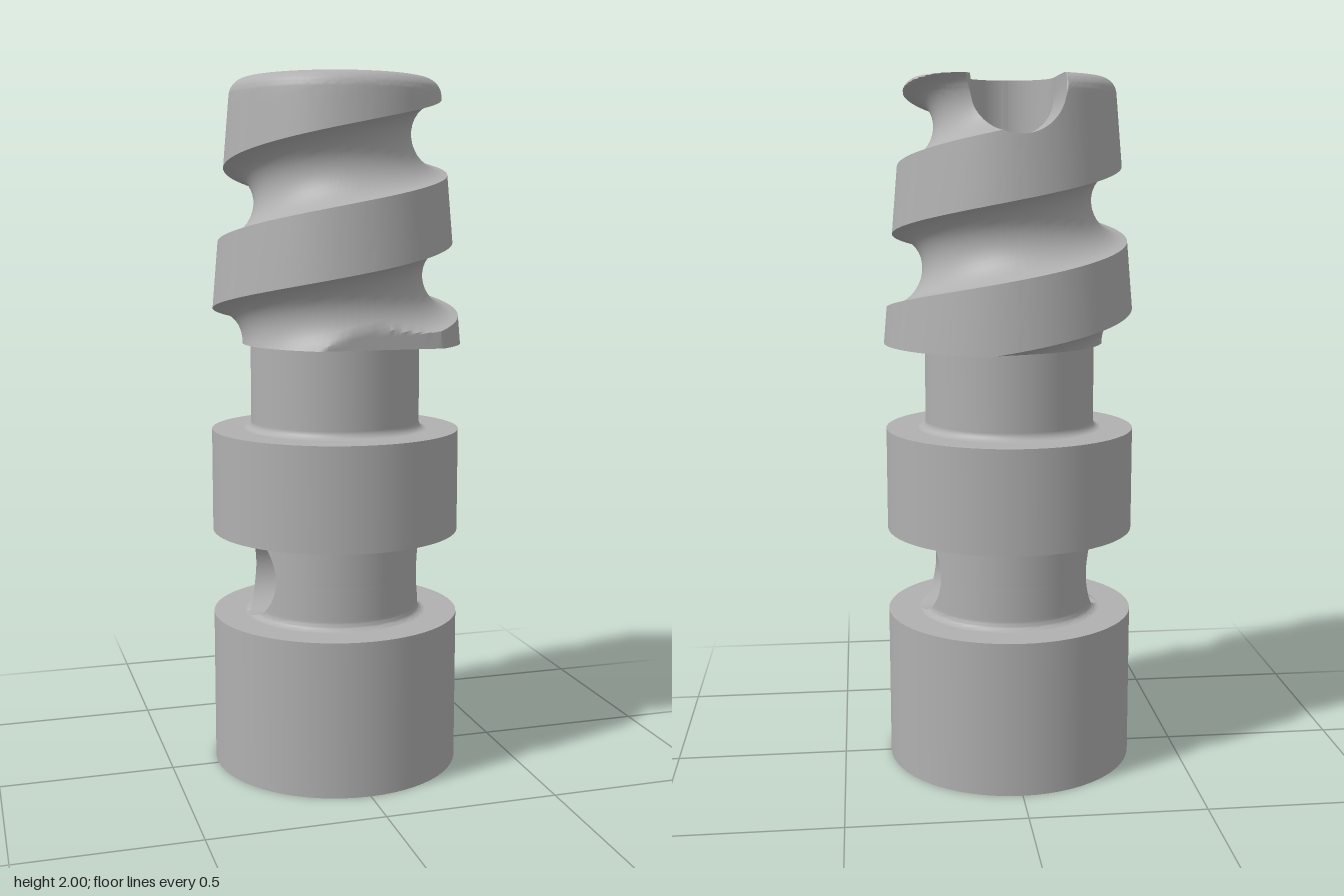
import * as THREE from 'three';
import { toCreasedNormals } from 'three/addons/utils/BufferGeometryUtils.js';

const steel = new THREE.MeshStandardMaterial({ color: 0xb0b0b0 });
steel.name = 'steel grey';

// Surface from columns of [x, y, z] points; columns run anticlockwise seen from above
function gridGeometry(columns) {
  const rows = columns[0].length, index = [];
  for (let i = 0; i < columns.length - 1; i++) {
    for (let j = 0; j < rows - 1; j++) {
      const a = i * rows + j, b = a + rows;
      index.push(a, b, b + 1, a, b + 1, a + 1);
    }
  }
  const g = new THREE.BufferGeometry();
  g.setAttribute('position', new THREE.Float32BufferAttribute(columns.flat(2), 3));
  g.setIndex(index);
  return toCreasedNormals(g, 0.6);
}

const polar = (phi, r, y) => [r * Math.sin(phi), y, r * Math.cos(phi)];
const lerp = THREE.MathUtils.lerp, clamp = THREE.MathUtils.clamp;
const root = v => Math.sqrt(Math.max(0, v));

// ---- Screw: tapered, helical groove, blind hole and a round-bottomed slot to the back
const BASE = 1.25, TOP = 2, PITCH = 0.4, HALF = 0.105, DEPTH = 0.095, FILLET = 0.045;
const BORE = 0.125, SLOT_Y = 1.96;

const cone = y => 0.365 - 0.088 * (y - BASE);
const grooveY = (phi, k) => 1.76 + PITCH * (phi / (2 * Math.PI) - k);

function screwRadius(phi, y) {
  const up = Math.max(0, y - (TOP - FILLET));
  let r = cone(y) - (FILLET - root(FILLET ** 2 - up ** 2));
  for (let k = 0; k < 3; k++) {
    const d = (y - grooveY(phi, k)) / HALF;
    if (Math.abs(d) < 1) r = Math.min(r, cone(y) - DEPTH * root(1 - d * d));
  }
  // the groove runs out straight at the bottom
  if (Math.cos(phi) > 0 && y < 1.36) r = Math.min(r, 0.28 / Math.cos(phi));
  return r;
}

const slotFloor = x => SLOT_Y - root(BORE ** 2 - x * x);

function screwColumn(phi) {
  const s = Math.sin(phi), back = Math.cos(phi) < -1e-6;
  // height at which the outside meets the slot
  let yEnd = TOP;
  if (back) {
    for (let y = 1.8; y < TOP; y += 0.0005) {
      const x = Math.abs(screwRadius(phi, y) * s);
      if (x < BORE && y > slotFloor(x)) { yEnd = y; break; }
    }
  }
  const pts = [polar(phi, 0.24, BASE)];
  const add = y => pts.push(polar(phi, screwRadius(phi, y), y));
  const low = Math.min(yEnd, TOP - FILLET);
  // rows follow the helix so the groove edges stay clean
  for (let k = 3; k >= -1; k--) {
    const c = grooveY(phi, k);
    for (let n = 0; n <= 16; n++) add(clamp(c + HALF * Math.sin((n / 16 - 0.5) * Math.PI), BASE, low));
    for (let n = 1; n < 5; n++) add(clamp(lerp(c + HALF, c + PITCH - HALF, n / 5), BASE, low));
  }
  for (let n = 0; n <= 10; n++) add(lerp(low, yEnd, Math.sin(n / 10 * Math.PI / 2)));
  // flat top, slot wall and slot floor
  const rEnd = screwRadius(phi, yEnd);
  const rw = back ? Math.min(BORE / Math.max(Math.abs(s), 1e-6), rEnd) : BORE;
  pts.push(polar(phi, rw, yEnd));
  for (let n = 0; n <= 8; n++) {
    const r = lerp(rw, BORE, n / 8);
    pts.push(polar(phi, r, back ? slotFloor(r * s) : TOP));
  }
  // blind hole with a conical end
  pts.push(polar(phi, BORE, 1.32), polar(phi, 0, 1.25));
  return pts;
}

function screwGeometry() {
  const columns = [], n = 240;
  for (let i = 0; i <= n; i++) columns.push(screwColumn((i / n * 2 - 1) * Math.PI));
  return gridGeometry(columns);
}

// ---- Neck with a cross hole along x
const NECK = 0.247, NECK_LOW = 0.45, NECK_HIGH = 0.7, HOLE_Y = 0.575, HOLE = 0.125, ROUND = 0.022;

function neckRadius(y) {
  const t = Math.max(0, Math.min(y - NECK_LOW, NECK_HIGH - y));
  return t < ROUND ? NECK + ROUND - root(ROUND ** 2 - (ROUND - t) ** 2) : NECK;
}

// half height of the hole where it meets the neck at this angle
function holeGap(phi) {
  let gap = root(HOLE ** 2 - (NECK * Math.cos(phi)) ** 2);
  for (let i = 0; i < 4; i++) gap = root(HOLE ** 2 - (neckRadius(HOLE_Y + gap) * Math.cos(phi)) ** 2);
  return gap;
}

function neckGeometry(upper) {
  const edge = Math.acos(HOLE / NECK), angles = [];
  for (let i = 0; i < 20; i++) angles.push(lerp(-edge, edge, i / 20));
  for (let i = 0; i < 32; i++) angles.push(Math.acos(HOLE * Math.cos(i / 32 * Math.PI) / NECK));
  for (let i = 0; i < 20; i++) angles.push(lerp(Math.PI - edge, Math.PI + edge, i / 20));
  for (let i = 0; i <= 32; i++) angles.push(Math.PI + Math.acos(HOLE * Math.cos(i / 32 * Math.PI) / NECK));
  return gridGeometry(angles.map(phi => {
    const gap = holeGap(phi), col = [];
    for (let n = 0; n <= 16; n++) {
      const t = (n / 16) ** 2;
      const y = upper ? lerp(NECK_HIGH, HOLE_Y + gap, t) : lerp(NECK_LOW, HOLE_Y - gap, t);
      col.push(polar(phi, neckRadius(y), y));
    }
    return upper ? col.reverse() : col;
  }));
}

function crossHoleGeometry() {
  const columns = [];
  for (let i = 0; i <= 64; i++) {
    const a = i / 64 * Math.PI * 2;
    const y = HOLE_Y + HOLE * Math.sin(a), z = HOLE * Math.cos(a);
    const x = root(neckRadius(y) ** 2 - z * z);
    columns.push([[-x, y, z], [x, y, z]]);
  }
  return gridGeometry(columns.reverse());
}

export function createModel() {
  const model = new THREE.Group();
  model.name = 'grooved pin';
  const add = (name, geometry, y = 0, material = steel) => {
    const mesh = new THREE.Mesh(geometry, material);
    mesh.name = name;
    mesh.position.y = y;
    model.add(mesh);
    return mesh;
  };

  // Base and collar
  add('base', new THREE.CylinderGeometry(0.362, 0.362, 0.45, 64), 0.225);
  add('collar', new THREE.CylinderGeometry(0.362, 0.362, 0.3, 64), 0.85);

  // Lower neck and its cross hole
  add('lowerNeckBottom', neckGeometry(false));
  add('lowerNeckTop', neckGeometry(true));
  const holeSteel = steel.clone();
  holeSteel.side = THREE.DoubleSide;
  add('crossHole', crossHoleGeometry(), 0, holeSteel);

  // Upper neck, rounded where it meets the collar
  const profile = [];
  for (let i = 0; i <= 6; i++) {
    const a = i / 6 * Math.PI / 2;
    profile.push(new THREE.Vector2(NECK + ROUND * (1 - Math.sin(a)), 1 + ROUND * (1 - Math.cos(a))));
  }
  profile.push(new THREE.Vector2(NECK, BASE));
  add('upperNeck', new THREE.LatheGeometry(profile, 64));

  // Screw head
  add('screw', screwGeometry());
  return model;
}
